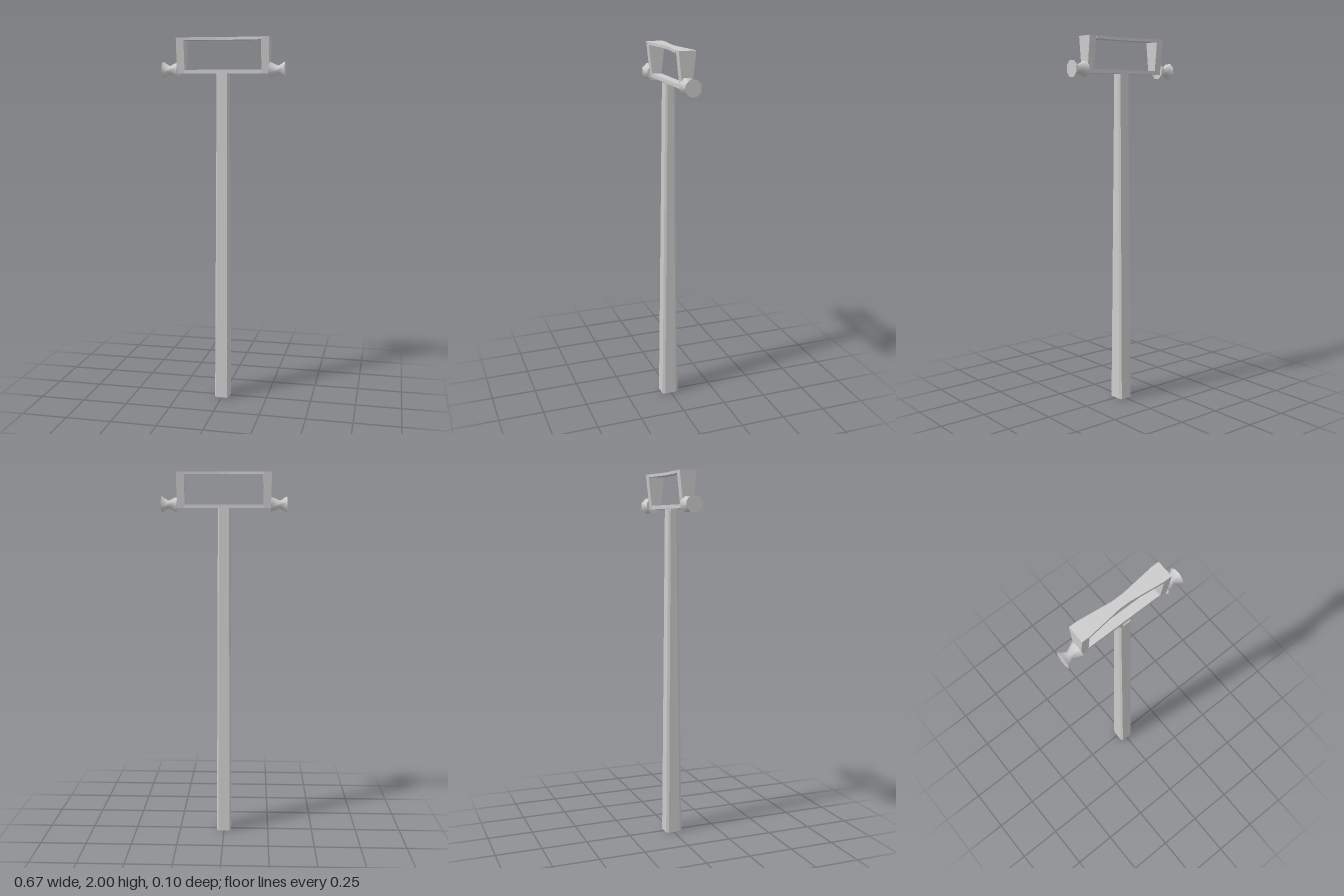
import * as THREE from 'three';

const grey = () => new THREE.MeshStandardMaterial({ color: 0xcccccc, flatShading: true, side: THREE.DoubleSide });
const clamp01 = (t) => Math.min(1, Math.max(0, t));
const AXIS_Z = -0.007; // middle plane of the head

// A bar of the head frame; depth grows toward the upper outer corners
function frameBar(name, x0, x1, y0, y1, segX = 1) {
  const geo = new THREE.BoxGeometry(x1 - x0, y1 - y0, 2, segX, 1, 1);
  geo.translate((x0 + x1) / 2, (y0 + y1) / 2, 0);
  const p = geo.attributes.position;
  for (let i = 0; i < p.count; i++) {
    const outward = clamp01((Math.abs(p.getX(i)) - 0.03) / 0.18);
    const upward = clamp01((p.getY(i) - 1.83) / 0.155);
    p.setZ(i, AXIS_Z + p.getZ(i) * (0.025 + 0.021 * outward * upward));
  }
  const mesh = new THREE.Mesh(geo, grey());
  mesh.name = name;
  return mesh;
}

// Tapered handle: chamfered rectangle lofted from the foot to the head
function handleGeometry() {
  const ring = (hx, z0, z1, c, y) => [
    [hx, z0 + c * 1.8], [hx, z1 - c * 1.8], [hx - c, z1], [c - hx, z1],
    [-hx, z1 - c * 1.8], [-hx, z0 + c * 1.8], [c - hx, z0], [hx - c, z0],
  ].map(([x, z]) => [x, y, z]);
  const foot = ring(0.04, -0.043, 0.05, 0.008, 0);
  const top = ring(0.033, -0.026, 0.028, 0.006, 1.812);
  const pos = [];
  for (let i = 0; i < 8; i++) {
    const j = (i + 1) % 8;
    pos.push(...foot[i], ...top[i], ...top[j], ...foot[i], ...top[j], ...foot[j]);
  }
  const geo = new THREE.BufferGeometry();
  geo.setAttribute('position', new THREE.Float32BufferAttribute(pos, 3));
  geo.computeVertexNormals();
  return geo;
}

// Spool-shaped knob: two truncated cones meeting at a narrow waist, with flat ends
function knob(side) {
  const group = new THREE.Group();
  group.name = side > 0 ? 'leftKnob' : 'rightKnob';
  const profile = [[0.044, 0.25], [0.021, 0.298], [0.046, 0.335]];
  const pts = profile.map(([r, y]) => new THREE.Vector2(r, y));
  const spool = new THREE.Mesh(new THREE.LatheGeometry(pts, 8, Math.PI / 8), grey());
  spool.material.flatShading = false;
  spool.name = 'spool';
  group.add(spool);
  [[profile[0], Math.PI / 2], [profile[2], -Math.PI / 2]].forEach(([[r, y], turn], i) => {
    const cap = new THREE.Mesh(new THREE.CircleGeometry(r, 8, Math.PI / 8), grey());
    cap.rotation.x = turn;
    cap.position.y = y;
    cap.name = i ? 'outerCap' : 'innerCap';
    group.add(cap);
  });
  group.rotation.z = -side * Math.PI / 2;
  group.position.set(0, 1.83, AXIS_Z);
  return group;
}

export function createModel() {
  const model = new THREE.Group();
  model.name = 'longHandledTool';

  const handle = new THREE.Mesh(handleGeometry(), grey());
  handle.name = 'handle';

  const head = new THREE.Group();
  head.name = 'headFrame';
  head.add(
    frameBar('topBar', -0.21, 0.21, 1.985, 2, 14),
    frameBar('bottomBar', -0.21, 0.21, 1.81, 1.83),
    frameBar('leftBar', 0.21, 0.252, 1.81, 2),
    frameBar('rightBar', -0.252, -0.21, 1.81, 2),
  );

  model.add(handle, head, knob(1), knob(-1));
  return model;
}
